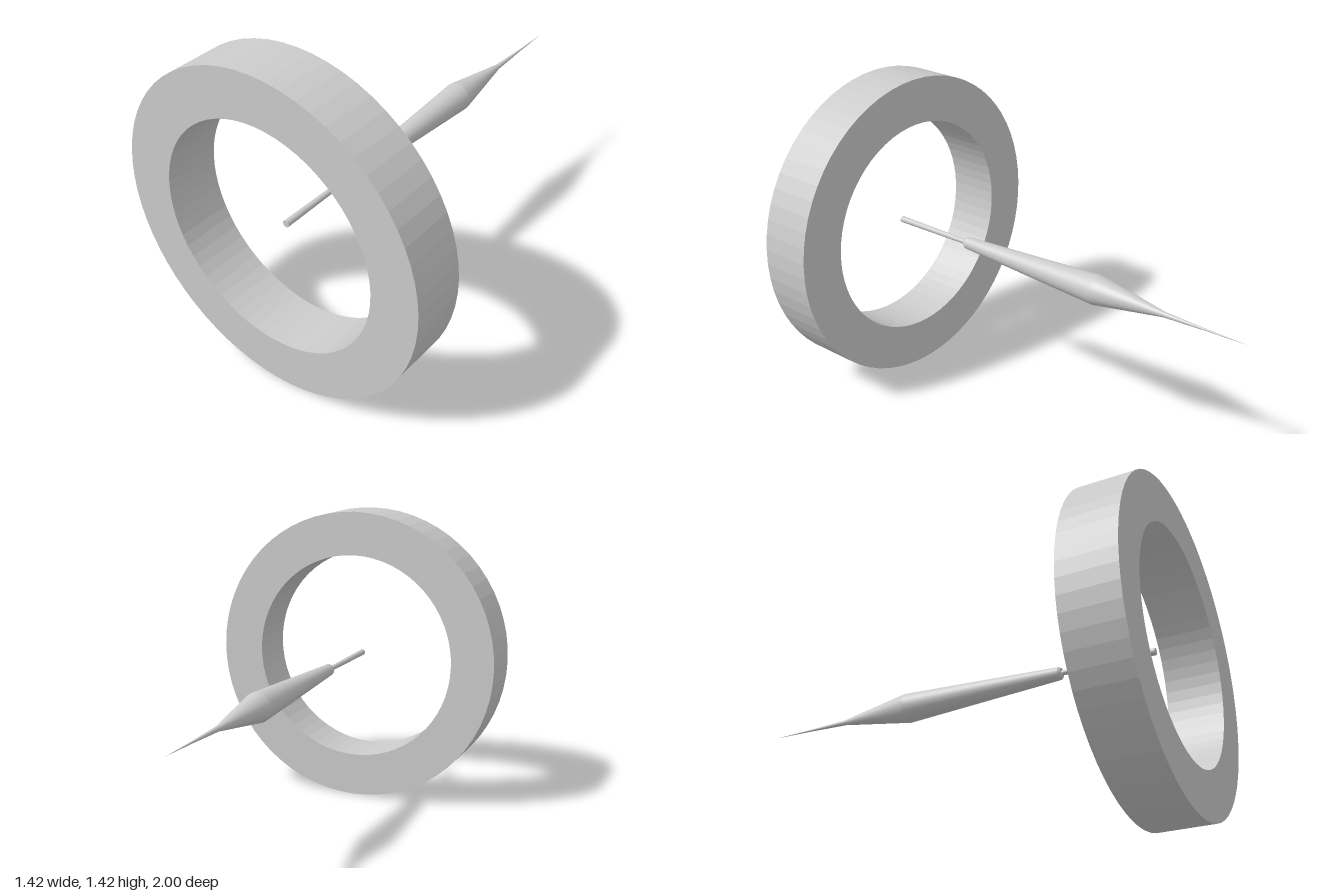
import * as THREE from 'three';

const CENTER_Y = 0.712;

export function createModel() {
  const group = new THREE.Group();
  const smooth = new THREE.MeshStandardMaterial({ color: 0xcccccc });
  const flat = new THREE.MeshStandardMaterial({ color: 0xcccccc, flatShading: true });

  // Faceted hoop around the front end of the shaft
  const outline = new THREE.Shape().absarc(0, 0, 0.712, 0, Math.PI * 2, false);
  outline.holes.push(new THREE.Path().absarc(0, 0, 0.503, 0, Math.PI * 2, true));
  const hoopGeometry = new THREE.ExtrudeGeometry(outline, {
    depth: 0.245, curveSegments: 32, bevelEnabled: false,
  });
  const hoop = new THREE.Mesh(hoopGeometry, flat);
  hoop.name = 'hoop';
  hoop.position.set(0, CENTER_Y, 0.755);
  group.add(hoop);

  // Tapered section along z, from the front end to the back end
  function section(name, zFront, zBack, rFront, rBack, open = true) {
    const geometry = new THREE.CylinderGeometry(rFront, rBack, zFront - zBack, 32, 1, open);
    geometry.rotateX(Math.PI / 2);
    const mesh = new THREE.Mesh(geometry, smooth);
    mesh.name = name;
    mesh.position.set(0, CENTER_Y, (zFront + zBack) / 2);
    group.add(mesh);
  }

  // Slim rod, collar, spindle-shaped body and needle point
  section('frontRod', 0.88, 0.46, 0.015, 0.011, false);
  section('collar', 0.47, 0.46, 0.022, 0.028, false);
  section('body', 0.46, -0.275, 0.028, 0.066);
  section('rearTaper', -0.275, -0.61, 0.066, 0.012);
  section('needleBase', -0.61, -0.8, 0.012, 0.005);
  section('needleTip', -0.8, -1, 0.005, 0);

  return group;
}
